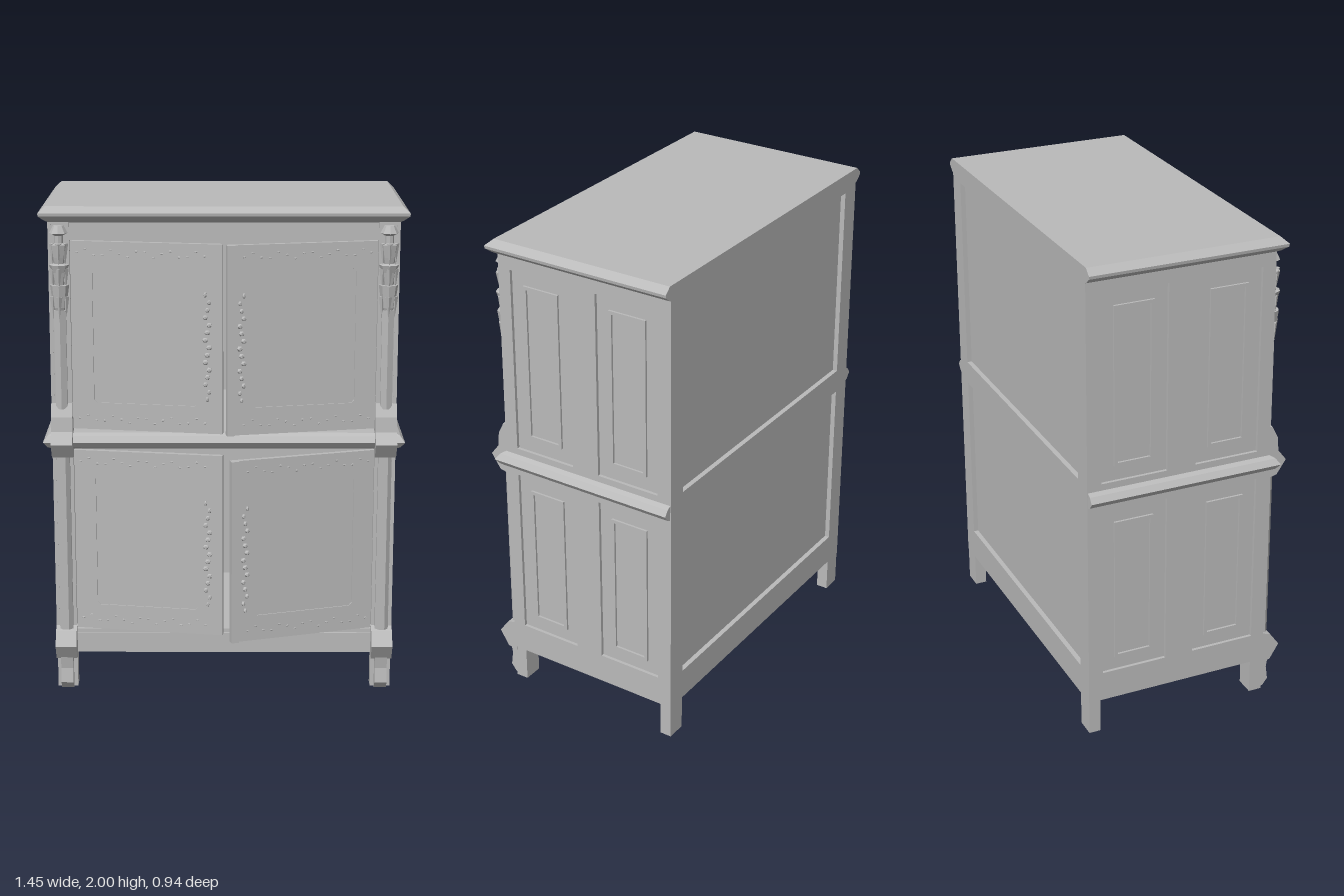
import * as THREE from 'three';

const wood = new THREE.MeshStandardMaterial({ color: 0xbababa, flatShading: true });
wood.name = 'grey wood';

function add(parent, name, geometry) {
  const mesh = new THREE.Mesh(geometry, wood);
  mesh.name = name;
  parent.add(mesh);
  return mesh;
}

// Box given by its limits on each axis
function box(parent, name, x0, x1, y0, y1, z0, z1) {
  const g = new THREE.BoxGeometry(Math.abs(x1 - x0), y1 - y0, z1 - z0);
  g.translate((x0 + x1) / 2, (y0 + y1) / 2, (z0 + z1) / 2);
  return add(parent, name, g);
}

// Rectangle path with clipped corners
function rectPath(path, [x0, y0, x1, y1], c = 0) {
  path.moveTo(x0 + c, y0);
  path.lineTo(x1 - c, y0);
  if (c) path.lineTo(x1, y0 + c);
  path.lineTo(x1, y1 - c);
  if (c) path.lineTo(x1 - c, y1);
  path.lineTo(x0 + c, y1);
  if (c) path.lineTo(x0, y1 - c);
  path.lineTo(x0, y0 + c);
  path.closePath();
  return path;
}

// Flat board with rectangular openings
function frame(outer, holes, depth, clip = 0) {
  const shape = rectPath(new THREE.Shape(), outer);
  for (const h of holes) shape.holes.push(rectPath(new THREE.Path(), h, clip));
  return new THREE.ExtrudeGeometry(shape, { depth, bevelEnabled: false });
}

// Slab whose front and sides follow a [y, overhang] moulding profile
function mouldedSlab(profile, halfWidth, front, back) {
  const pos = [], idx = [];
  for (const [y, g] of profile) {
    const w = halfWidth + g;
    pos.push(-w, y, front + g, w, y, front + g, w, y, back, -w, y, back);
  }
  for (let i = 0; i < profile.length - 1; i++) {
    for (let k = 0; k < 4; k++) {
      const a = i * 4 + k, b = i * 4 + (k + 1) % 4;
      idx.push(a, b, b + 4, a, b + 4, a + 4);
    }
  }
  const t = (profile.length - 1) * 4;
  idx.push(0, 2, 1, 0, 3, 2, t, t + 1, t + 2, t, t + 2, t + 3);
  const g = new THREE.BufferGeometry();
  g.setAttribute('position', new THREE.Float32BufferAttribute(pos, 3));
  g.setIndex(idx);
  const flat = g.toNonIndexed();
  flat.computeVertexNormals();
  return flat;
}

// Block with a [z, y] side outline, running from x0 to x1
function profileBlock(points, x0, x1) {
  const shape = new THREE.Shape(points.map(([z, y]) => new THREE.Vector2(-z, y)));
  const g = new THREE.ExtrudeGeometry(shape, { depth: x1 - x0, bevelEnabled: false });
  return g.rotateY(Math.PI / 2).translate(x0, 0, 0);
}

const LEVELS = [
  { name: 'lower', y0: 0.25, y1: 1.01, open: [0.355, 0.905], side: [0.27, 0.995], inner: [0.325, 0.935], vine: [0.38, 0.81] },
  { name: 'upper', y0: 1.10, y1: 1.86, open: [1.21, 1.755], side: [1.115, 1.885], inner: [1.175, 1.83], vine: [1.24, 1.66] },
];

// Side wall: board with four openings, each holding a framed panel
function buildSide(root, s) {
  const side = new THREE.Group();
  side.name = s > 0 ? 'leftSide' : 'rightSide';
  const holes = [];
  for (const L of LEVELS) {
    for (const [a, b] of [[-0.255, 0.015], [0.135, 0.41]]) {
      holes.push([a, L.side[0], b, L.side[1]]);
      const r = [a + 0.055, L.inner[0], b - 0.055, L.inner[1]];
      const hole = [r[0] + 0.014, r[1] + 0.014, r[2] - 0.014, r[3] - 0.014];
      const ring = frame(r, [hole], 0.012).rotateY(Math.PI / 2);
      add(side, 'sidePanelMoulding', ring.translate(s > 0 ? 0.674 : -0.686, 0, 0));
    }
  }
  const board = frame([-0.31, 0.145, 0.47, 1.945], holes, 0.014).rotateY(Math.PI / 2);
  add(side, 'sideFrame', board.translate(s > 0 ? 0.676 : -0.69, 0, 0));
  box(side, 'sidePanel', s * 0.655, s * 0.677, 0.15, 1.94, -0.46, 0.30);
  root.add(side);
}

// Front corner post with foot, lozenge blocks, columns and carved capital
function buildCorner(root, s) {
  const post = new THREE.Group();
  post.name = s > 0 ? 'leftFrontPost' : 'rightFrontPost';
  const across = (name, pts, a, b) => add(post, name, profileBlock(pts, s > 0 ? a : -b, s > 0 ? b : -a));
  box(post, 'frontLeg', s * 0.606, s * 0.688, 0, 1.945, 0.255, 0.309);
  across('foot', [[0.30, 0], [0.325, 0], [0.348, 0.03], [0.34, 0.09], [0.35, 0.15], [0.30, 0.15]], 0.622, 0.672);
  across('lowerBlock', [[0.30, 0.13], [0.345, 0.135], [0.385, 0.2], [0.345, 0.255], [0.30, 0.27]], 0.605, 0.69);
  across('middleBlock', [[0.30, 0.985], [0.345, 0.995], [0.385, 1.055], [0.35, 1.1], [0.345, 1.16], [0.32, 1.21], [0.30, 1.21]], 0.605, 0.69);

  const x = s * 0.647;
  const lower = new THREE.CylinderGeometry(0.029, 0.029, 0.74, 8);
  add(post, 'lowerColumn', lower.rotateY(Math.PI / 8).translate(x, 0.63, 0.318));
  const upper = new THREE.CylinderGeometry(0.027, 0.027, 0.4, 6);
  add(post, 'upperColumn', upper.translate(x, 1.39, 0.31));

  const tiers = [[0.004, 1.54], [0.026, 1.6], [0.038, 1.69], [0.02, 1.69], [0.03, 1.74], [0.04, 1.77],
    [0.022, 1.775], [0.028, 1.8], [0.037, 1.85], [0.018, 1.855], [0.018, 1.885], [0.036, 1.895], [0.02, 1.925], [0, 1.925]];
  const capital = new THREE.LatheGeometry(tiers.map(p => new THREE.Vector2(...p)), 8);
  add(post, 'carvedCapital', capital.translate(x, 0, 0.31));
  // Leaf tips around each tier
  for (const y of [1.6, 1.71, 1.81]) {
    for (const a of [-1.2, 0, 1.2]) {
      const leaf = new THREE.ConeGeometry(0.013, 0.09, 4).rotateX(Math.PI);
      add(post, 'leaf', leaf.translate(x + Math.sin(a) * 0.027, y, 0.31 + Math.cos(a) * 0.027));
    }
  }
  root.add(post);
}

// Hinged door standing ajar; s = +1 hinges on the +x side
function buildDoor(root, L, s, angle) {
  const door = new THREE.Group();
  door.name = L.name + (s > 0 ? 'LeftDoor' : 'RightDoor');
  const W = 0.61;
  const span = (a, b) => (s > 0 ? [-b, -a] : [a, b]);
  const [o0, o1] = span(0, W), [h0, h1] = span(0.09, 0.51);
  add(door, 'doorFrame', frame([o0, L.y0, o1, L.y1], [[h0, L.open[0], h1, L.open[1]]], 0.02, 0.012));
  box(door, 'doorPanel', h0 - 0.01, h1 + 0.01, L.open[0] - 0.01, L.open[1] + 0.01, 0.003, 0.015);
  if (s > 0) {
    const [a0, a1] = span(0.578, W);
    box(door, 'closingStrip', a0, a1, L.y0, L.y1, 0.019, 0.031);
  }
  // Carved vine on the closing stile
  const bump = (name, d, y, rx, ry, rz) => {
    const g = new THREE.IcosahedronGeometry(1, 0).scale(rx, ry, rz);
    add(door, name, g.translate(-s * d, y, 0.02));
  };
  const n = 15;
  for (let i = 0; i < n; i++) {
    const t = i / (n - 1);
    const size = 0.007 + 0.006 * Math.sin(Math.PI * t);
    const y = L.vine[0] + (L.vine[1] - L.vine[0]) * t;
    bump('carvedVine', 0.55 + 0.009 * Math.sin(i * 2.1), y, size, 0.011, 0.012);
  }
  // Faint sprigs along the top and bottom rails
  for (let i = 0; i < 16; i++) {
    const d = 0.03 + i * 0.034;
    for (const y of [L.y0 + 0.045, L.y1 - 0.045]) {
      bump('railCarving', d, y + 0.014 * Math.sin(i * 1.9), 0.007, 0.004, 0.002);
    }
  }
  door.position.set(s * 0.605, 0, 0.265);
  door.rotation.y = s * angle;
  root.add(door);
}

export function createModel() {
  const root = new THREE.Group();
  root.name = 'cabinet';

  // Top and middle mouldings
  add(root, 'topMoulding', mouldedSlab(
    [[1.935, -0.005], [1.945, 0.012], [1.963, 0.033], [1.975, 0.035], [2.0, 0.008]], 0.69, 0.31, -0.47));
  add(root, 'middleMoulding', mouldedSlab(
    [[1.022, 0], [1.032, 0.018], [1.055, 0.035], [1.078, 0.018], [1.088, 0]], 0.69, 0.31, -0.467));

  for (const s of [1, -1]) {
    buildSide(root, s);
    buildCorner(root, s);
    box(root, 'backLeg', s * 0.606, s * 0.688, 0, 0.16, -0.469, -0.42);
  }

  // Back frame with two recessed panels
  const back = frame([-0.689, 0.145, 0.689, 1.945],
    [[-0.605, 0.275, 0.605, 1.01], [-0.605, 1.11, 0.605, 1.92]], 0.03);
  add(root, 'backFrame', back.translate(0, 0, -0.47));
  box(root, 'backPanel', -0.66, 0.66, 0.24, 1.94, -0.45, -0.435);

  // Front rails and floor
  box(root, 'topRail', -0.61, 0.61, 1.865, 1.945, 0.26, 0.30);
  box(root, 'bottomRail', -0.61, 0.61, 0.148, 0.232, 0.27, 0.305);
  box(root, 'bottomLedge', -0.61, 0.61, 0.23, 0.248, 0.255, 0.298);
  box(root, 'floor', -0.66, 0.66, 0.215, 0.24, -0.45, 0.28);

  // Doors, each opened by its own angle
  buildDoor(root, LEVELS[0], 1, 0.3);
  buildDoor(root, LEVELS[0], -1, 0.16);
  buildDoor(root, LEVELS[1], 1, 0.2);
  buildDoor(root, LEVELS[1], -1, 0.16);
  return root;
}
